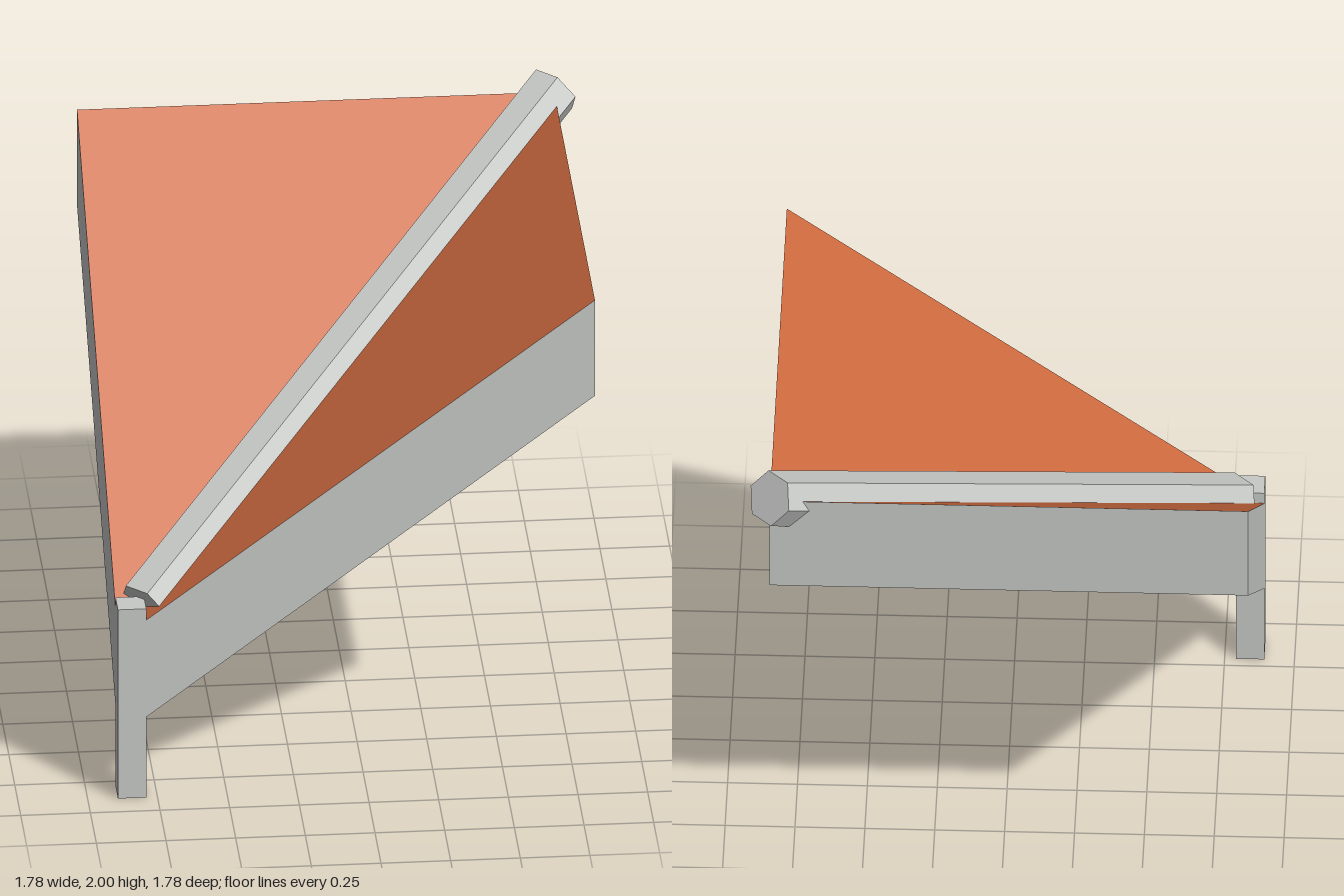
import * as THREE from 'three';

const tile = new THREE.MeshStandardMaterial({ color: 0xcf6b40 });
tile.name = 'terracotta';
const stone = new THREE.MeshStandardMaterial({ color: 0xc8cac8 });
stone.name = 'pale grey';

// Flat-shaded geometry from convex polygons, each listed anticlockwise from outside
function fromPolygons(polygons) {
  const pos = [];
  for (const p of polygons) {
    for (let i = 1; i < p.length - 1; i++) pos.push(...p[0], ...p[i], ...p[i + 1]);
  }
  const geo = new THREE.BufferGeometry();
  geo.setAttribute('position', new THREE.Float32BufferAttribute(pos, 3));
  geo.computeVertexNormals();
  return geo;
}

export function createModel() {
  const model = new THREE.Group();
  model.name = 'roofValleyCorner';
  const add = (name, geo, mat) => {
    const mesh = new THREE.Mesh(geo, mat);
    mesh.name = name;
    model.add(mesh);
    return mesh;
  };

  const OUT = 0.892, IN = 0.79, FAR = 0.82;

  // Plan of the roof: a square with the post's corner cut out, [x, z, high end?]
  const plan = [
    [-IN, IN, 0], [-IN, OUT, 0], [FAR, OUT, 1],
    [FAR, -FAR, 1], [-OUT, -FAR, 1], [-OUT, IN, 0],
  ];
  const top = plan.map(([x, z, h]) => [x, h ? 1.91 : 0.705, z]);
  const bottom = plan.map(([x, z, h]) => [x, h ? 1.53 : 0.32, z]);

  // Two slopes that meet along the diagonal valley
  const halves = [[0, 1, 2, 3], [0, 3, 4, 5]];
  add('roofSlopes', fromPolygons(halves.map((f) => f.map((i) => top[i]))), tile);
  add('roofUnderside', fromPolygons(halves.map((f) => f.map((i) => bottom[i]).reverse())), stone);

  // Vertical walls around the edge
  const walls = plan.map((_, i) => {
    const j = (i + 1) % plan.length;
    return [bottom[i], bottom[j], top[j], top[i]];
  });
  add('roofWalls', fromPolygons(walls), stone);

  // Corner post under the low end
  const w = OUT - IN;
  const post = add('cornerPost', new THREE.BoxGeometry(w, 0.75, w), stone);
  post.position.set(-(OUT + IN) / 2, 0.375, (OUT + IN) / 2);

  // Six-sided bar lying along the valley, flat side up
  const low = new THREE.Vector3(-IN, 0.715, IN);
  const high = new THREE.Vector3(FAR, 1.922, -FAR);
  const along = high.clone().sub(low);
  const bar = new THREE.CylinderGeometry(0.1, 0.1, along.length(), 6).toNonIndexed();
  const dir = along.normalize();
  const side = new THREE.Vector3(1, 0, 1).normalize();
  const up = new THREE.Vector3().crossVectors(dir, side);
  bar.applyMatrix4(new THREE.Matrix4().makeBasis(up, dir, side));
  bar.computeVertexNormals();
  add('valleyBar', bar, stone).position.copy(low).add(high).multiplyScalar(0.5);

  return model;
}
